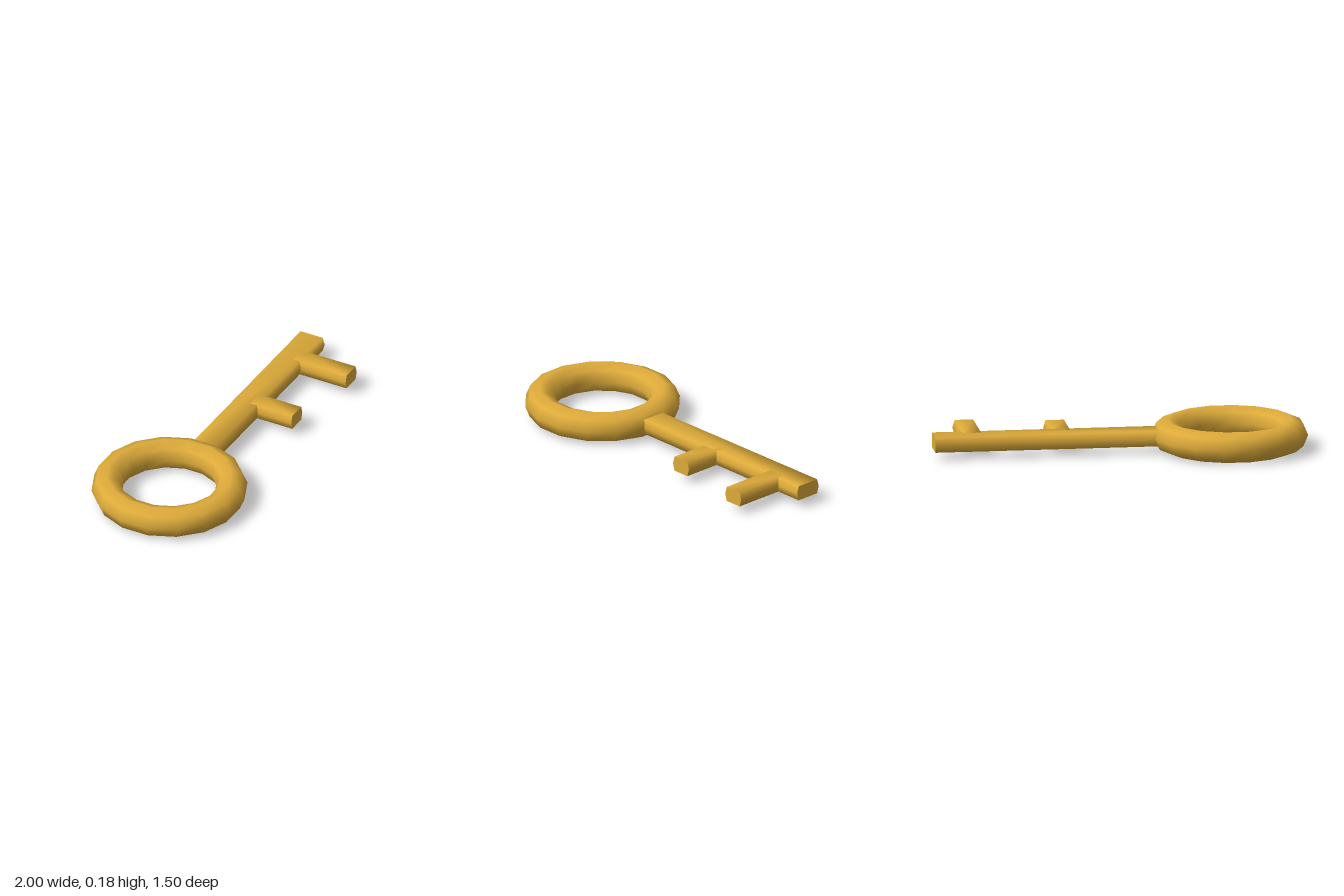
import * as THREE from 'three';
import { toCreasedNormals } from 'three/addons/utils/BufferGeometryUtils.js';

const brass = new THREE.MeshStandardMaterial({ color: 0xdeab3a });
brass.name = 'brass';

const HALF_THICK = 0.045; // half thickness of shaft and teeth
const BULGE = 0.013; // how far the side edges swell at mid height

// Flat bar with a six-sided section, running along +z from start to end
function flatBar(name, halfWidth, start, end) {
  const geo = new THREE.CylinderGeometry(1, 1, end - start, 6);
  geo.rotateX(Math.PI / 2);
  geo.rotateZ(Math.PI / 2);
  const p = geo.attributes.position;
  for (let i = 0; i < p.count; i++) {
    const x = p.getX(i), y = p.getY(i);
    if (Math.hypot(x, y) < 0.1) continue; // cap centre
    const onSide = Math.abs(y) < 0.1;
    p.setX(i, Math.sign(x) * (onSide ? halfWidth : halfWidth - BULGE));
    p.setY(i, onSide ? 0 : Math.sign(y) * HALF_THICK);
  }
  geo.translate(0, 0, (start + end) / 2);
  const mesh = new THREE.Mesh(toCreasedNormals(geo, 1.4), brass);
  mesh.name = name;
  return mesh;
}

export function createModel() {
  const key = new THREE.Group();
  key.name = 'key';
  key.position.set(-0.54, 0.093, 0.29);

  // Ring handle lying flat
  const ring = new THREE.Mesh(new THREE.TorusGeometry(0.368, 0.092, 8, 16).rotateX(-Math.PI / 2), brass);
  ring.name = 'ringHandle';
  key.add(ring);

  // Shaft and teeth share one direction, turned away from the ring
  const blade = new THREE.Group();
  blade.name = 'blade';
  blade.rotation.y = 0.586;
  key.add(blade);

  const shaft = flatBar('shaft', 0.087, 0.36, 1.752);
  shaft.rotation.y = Math.PI / 2;
  blade.add(shaft);

  // Teeth: position along the shaft and reach
  for (const [name, along, reach] of [['innerTooth', 0.996, 0.31], ['outerTooth', 1.523, 0.387]]) {
    const tooth = flatBar(name, 0.068, 0.03, reach);
    tooth.position.x = along;
    blade.add(tooth);
  }

  const model = new THREE.Group();
  model.add(key);
  return model;
}
